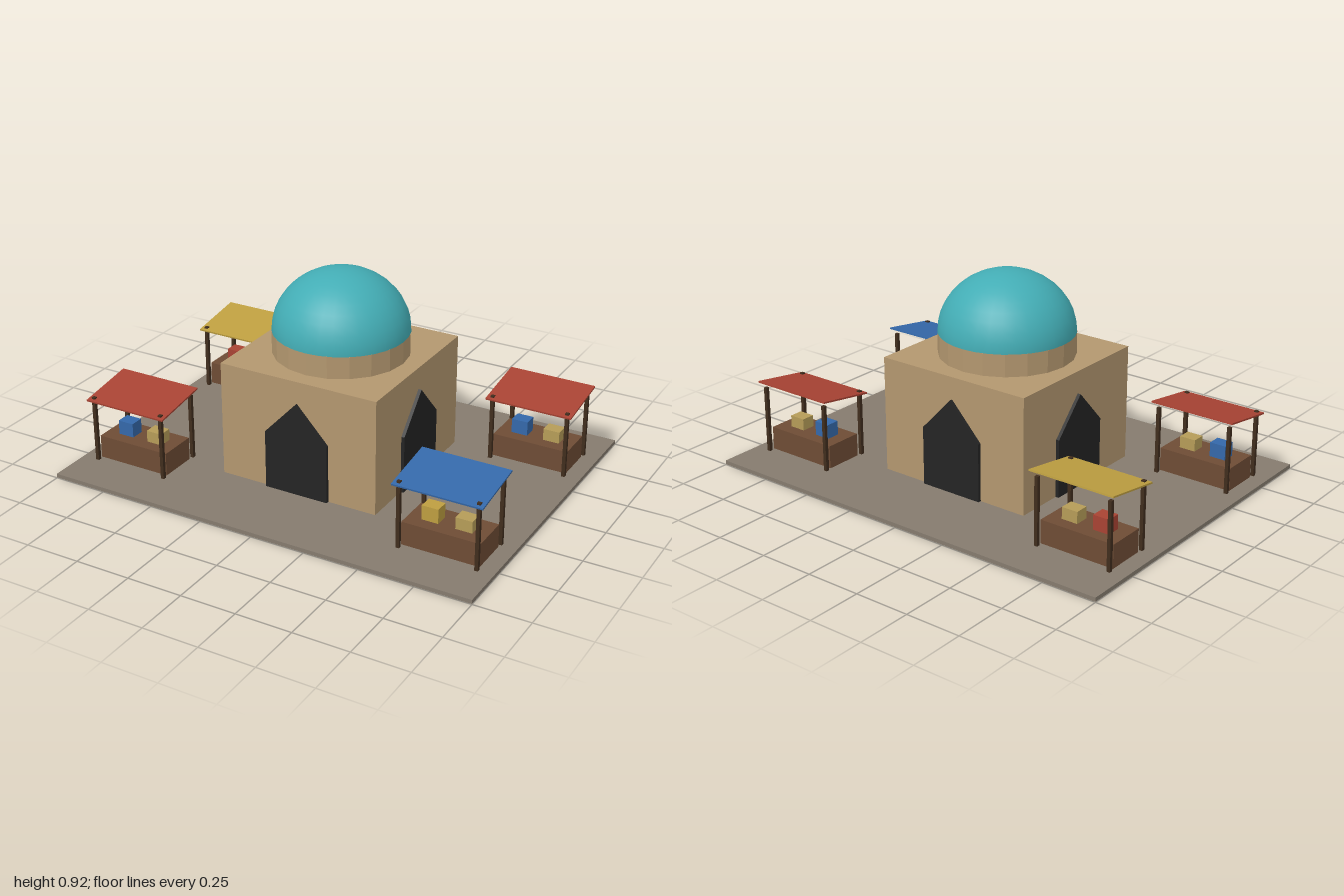
import * as THREE from 'three';

const mat = (name, color, flatShading = false) => {
  const m = new THREE.MeshStandardMaterial({ color, flatShading });
  m.name = name;
  return m;
};

export function createModel() {
  const paving = mat('paving', 0x857b6e);
  const sandstone = mat('sandstone', 0xb3976f, true);
  const teal = mat('tealTile', 0x43adb5);
  const dark = mat('darkOpening', 0x242424);
  const wood = mat('counterWood', 0x6e4c35);
  const postWood = mat('postWood', 0x402d1d);
  const red = mat('red', 0xa84333);
  const blue = mat('blue', 0x3468a9);
  const yellow = mat('yellow', 0xbd9e40);
  const straw = mat('straw', 0xb59c58);

  const model = new THREE.Group();
  model.name = 'domedMarket';

  const add = (parent, name, geometry, material, x, y, z) => {
    const mesh = new THREE.Mesh(geometry, material);
    mesh.name = name;
    mesh.position.set(x, y, z);
    parent.add(mesh);
    return mesh;
  };
  // Box placed by the height of its underside
  const box = (parent, name, material, w, h, d, x, y0, z) =>
    add(parent, name, new THREE.BoxGeometry(w, h, d), material, x, y0 + h / 2, z);

  box(model, 'ground', paving, 2, 0.018, 1.5, 0, 0.002, 0);

  // Central building: cube hall, faceted drum, flattened dome
  const hall = new THREE.Group();
  hall.name = 'hall';
  model.add(hall);
  box(hall, 'walls', sandstone, 0.75, 0.525, 0.75, 0, 0.02, 0);
  add(hall, 'drum', new THREE.CylinderGeometry(0.3, 0.3, 0.1, 20), sandstone, 0, 0.595, 0);
  const dome = new THREE.SphereGeometry(0.3, 32, 10, 0, Math.PI * 2, 0, Math.PI / 2);
  dome.scale(1, 0.9, 1);
  add(hall, 'dome', dome, teal, 0, 0.645, 0);

  // Pointed doorway on each of the four walls
  const arch = new THREE.Shape();
  arch.moveTo(-0.15, 0.02);
  arch.lineTo(0.15, 0.02);
  arch.lineTo(0.15, 0.285);
  arch.lineTo(0, 0.445);
  arch.lineTo(-0.15, 0.285);
  arch.closePath();
  const archGeometry = new THREE.ExtrudeGeometry(arch, { depth: 0.02, bevelEnabled: false });
  archGeometry.translate(0, 0, 0.37);
  for (let i = 0; i < 4; i++) {
    add(hall, 'doorway', archGeometry, dark, 0, 0, 0).rotation.y = (i * Math.PI) / 2;
  }

  // Market stall: counter, four posts, sloping awning, two crates
  const addStall = (x, z, awningMaterial, goodsMaterial) => {
    const stall = new THREE.Group();
    stall.name = 'stall';
    stall.position.set(x, 0, z);
    model.add(stall);
    box(stall, 'counter', wood, 0.35, 0.125, 0.175, 0, 0, 0);
    for (const sx of [-1, 1]) {
      for (const sz of [-1, 1]) {
        box(stall, 'post', postWood, 0.016, 0.325, 0.016, sx * 0.175, 0, sz * 0.1125);
      }
    }
    const awning = add(stall, 'awning', new THREE.BoxGeometry(0.4, 0.0075, 0.273), awningMaterial, 0, 0.332, 0);
    awning.rotation.x = 0.15;
    box(stall, 'goodsCrate', goodsMaterial, 0.075, 0.065, 0.0625, -0.076, 0.125, 0);
    box(stall, 'strawCrate', straw, 0.075, 0.053, 0.0625, 0.075, 0.125, 0);
  };
  addStall(-0.75, 0.4375, red, blue);
  addStall(0.75, 0.4375, blue, yellow);
  addStall(-0.75, -0.4375, yellow, red);
  addStall(0.75, -0.4375, red, blue);

  return model;
}
